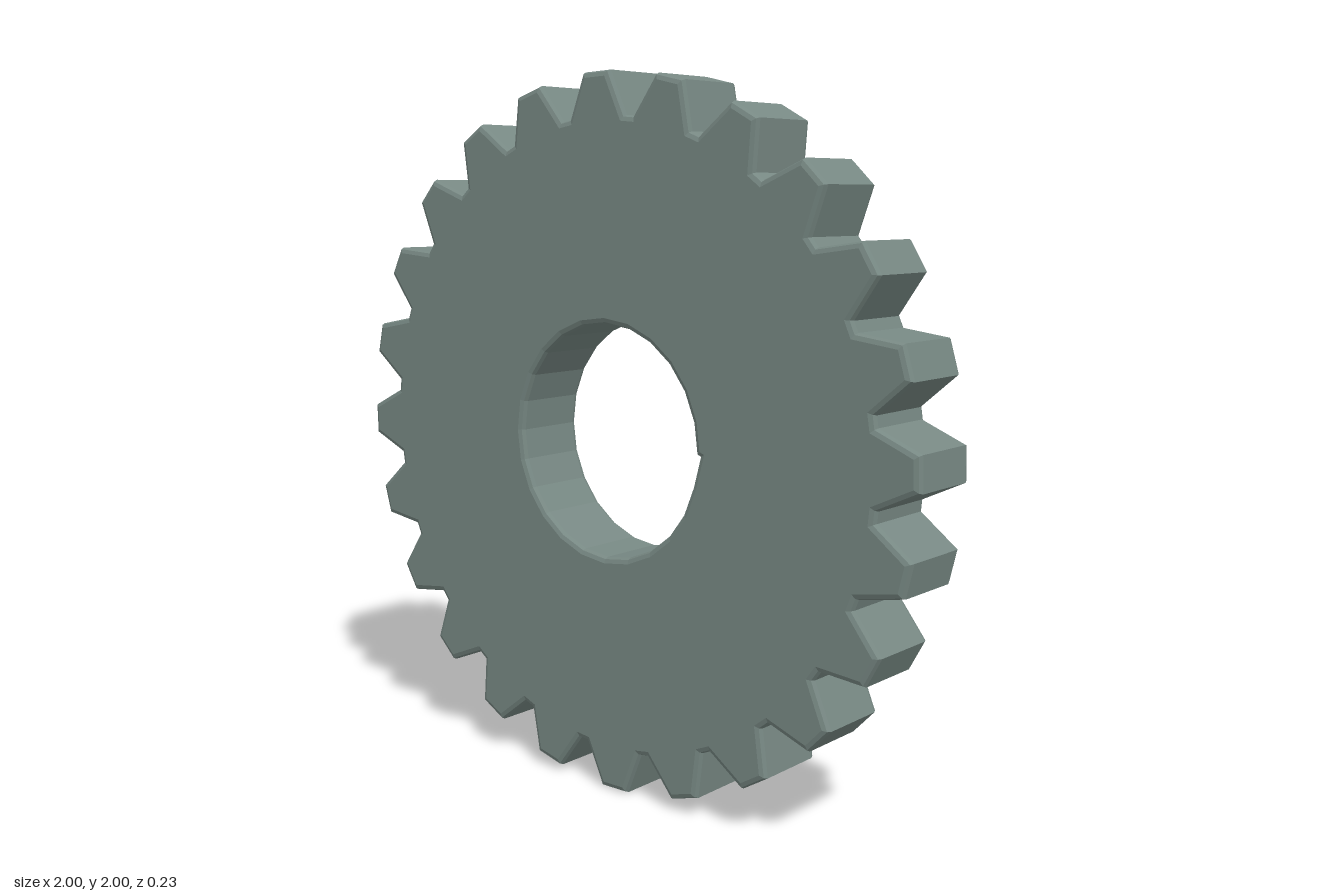
import * as THREE from 'three';

const TEETH = 24;
const TIP_R = 1.0, ROOT_R = 0.883, HOLE_R = 0.326;
const THICKNESS = 0.226, BEVEL = 0.016;
const DEG = Math.PI / 180;

const polar = (r, deg) => new THREE.Vector2(r * Math.cos(deg * DEG), r * Math.sin(deg * DEG));

export function createModel() {
  const group = new THREE.Group();
  const material = new THREE.MeshStandardMaterial({ color: 0x778883, flatShading: true });

  // Toothed outline: each tooth is a trapezoid between narrow flat roots
  const outline = [];
  const step = 360 / TEETH;
  for (let i = 0; i < TEETH; i++) {
    const a = i * step + 1.8;
    outline.push(polar(ROOT_R, a - 6.5), polar(TIP_R, a - 2.65),
      polar(TIP_R, a + 2.65), polar(ROOT_R, a + 6.5));
  }
  const shape = new THREE.Shape(outline);

  // Axle hole with a small step where the circle closes
  const hole = [];
  const sides = 24;
  for (let i = 0; i < sides; i++) hole.push(polar(HOLE_R, i * 360 / sides));
  hole.push(polar(HOLE_R + 0.011, -0.7));
  shape.holes.push(new THREE.Path(hole.reverse()));

  // Bevelled disc centred on its own thickness
  const depth = THICKNESS - 2 * BEVEL;
  const geometry = new THREE.ExtrudeGeometry(shape, {
    depth,
    bevelEnabled: true,
    bevelThickness: BEVEL,
    bevelSize: BEVEL,
    bevelOffset: -BEVEL,
    bevelSegments: 2,
  });
  geometry.translate(0, 0, -depth / 2);

  const gear = new THREE.Mesh(geometry, material);
  gear.name = 'gearWheel';
  gear.position.y = 1;
  group.add(gear);
  return group;
}
